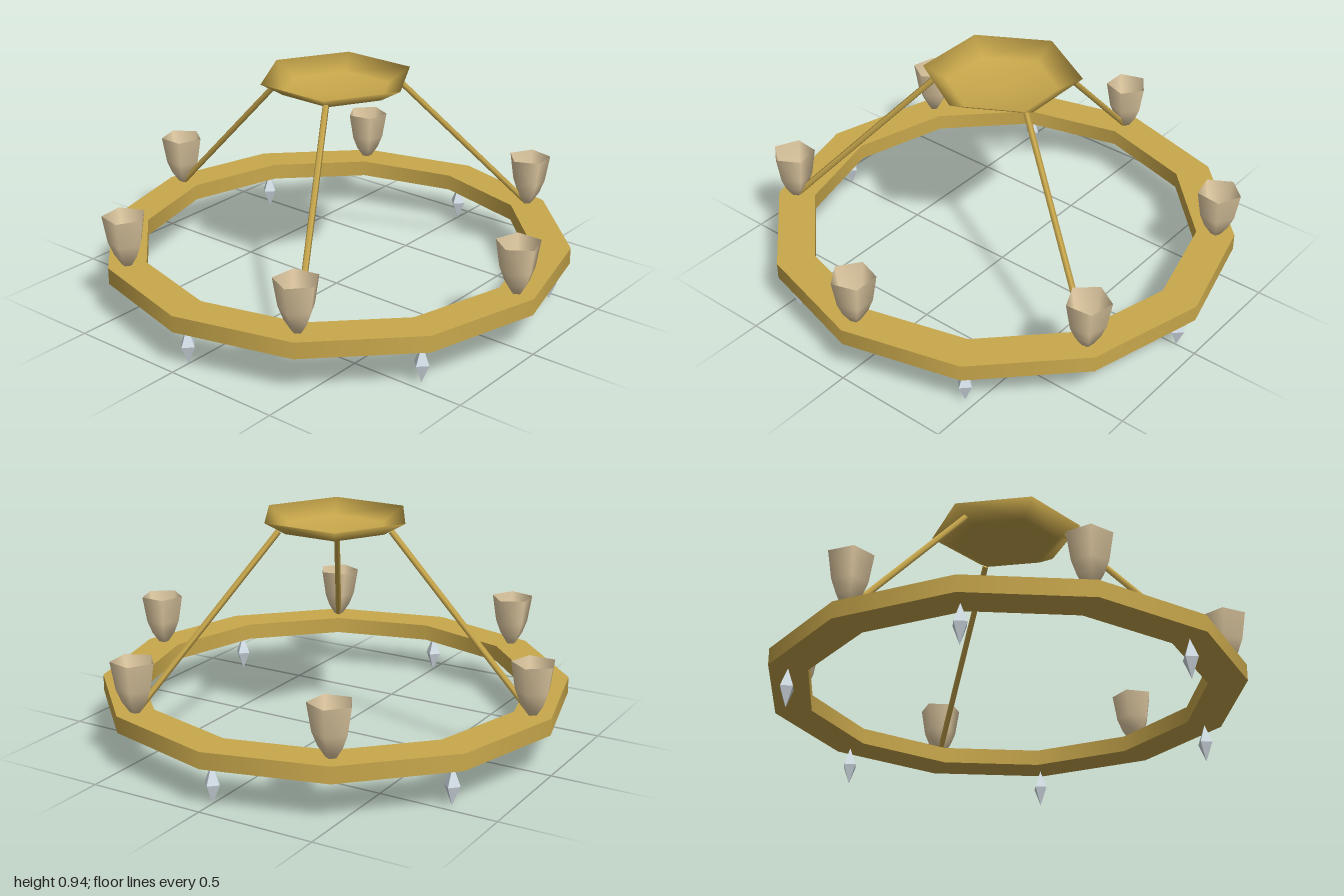
import * as THREE from 'three';

const material = (name, color) => {
  const m = new THREE.MeshStandardMaterial({ color, side: THREE.DoubleSide });
  m.name = name;
  return m;
};

export function createModel() {
  const root = new THREE.Group();
  root.name = 'chandelier';
  const brass = material('brass', 0xc9a84c);
  const glass = material('warm glass', 0xe6cfa6);
  const crystal = material('crystal', 0xd8e4ec);

  const add = (name, geometry, mat) => {
    const mesh = new THREE.Mesh(geometry, mat);
    mesh.name = name;
    root.add(mesh);
    return mesh;
  };
  const points = (list) => list.map(([r, y]) => new THREE.Vector2(r, y));
  const onCircle = (radius, angle, y) =>
    new THREE.Vector3(Math.cos(angle) * radius, y, Math.sin(angle) * radius);
  const mountRadius = 0.91;

  // Twelve-sided ring; doubled profile corners keep its edges sharp
  const ringProfile = points([
    [0.83, 0.17], [0.99, 0.17], [0.99, 0.17], [0.99, 0.24],
    [0.99, 0.24], [0.83, 0.24], [0.83, 0.24], [0.83, 0.17],
  ]);
  add('ring', new THREE.LatheGeometry(ringProfile, 12), brass);

  // Open, shallow hexagonal ceiling bowl
  const bowl = new THREE.SphereGeometry(0.327, 6, 2, 0, Math.PI * 2, Math.PI / 2, Math.PI / 2);
  bowl.scale(1, 0.08 / 0.327, 1);
  add('ceilingBowl', bowl, brass).position.y = 0.945;

  // Three slanted rods from the bowl to the ring
  for (let i = 0; i < 3; i++) {
    const angle = Math.PI / 3 + (i * Math.PI * 2) / 3;
    const top = onCircle(0.264, angle, 0.905);
    const bottom = onCircle(mountRadius, angle, 0.24);
    const axis = top.clone().sub(bottom);
    const rod = add('rod', new THREE.CylinderGeometry(0.0135, 0.0135, axis.length(), 5), brass);
    rod.position.copy(top).add(bottom).multiplyScalar(0.5);
    rod.quaternion.setFromUnitVectors(new THREE.Vector3(0, 1, 0), axis.normalize());
  }

  // Five-sided glass cups above the ring, crystal drops between them below
  const cup = new THREE.LatheGeometry(points([
    [0, 0.24], [0.022, 0.245], [0.052, 0.29], [0.074, 0.345], [0.093, 0.46],
  ]), 5);
  const drop = new THREE.OctahedronGeometry(1);
  drop.scale(0.036, 0.083, 0.036);
  for (let i = 0; i < 6; i++) {
    const angle = (i * Math.PI) / 3;
    const shade = add('glassCup', cup, glass);
    shade.position.copy(onCircle(mountRadius, angle, 0));
    shade.rotation.y = -angle;
    add('crystalDrop', drop, crystal)
      .position.copy(onCircle(mountRadius, angle + Math.PI / 6, 0.083));
  }
  return root;
}
